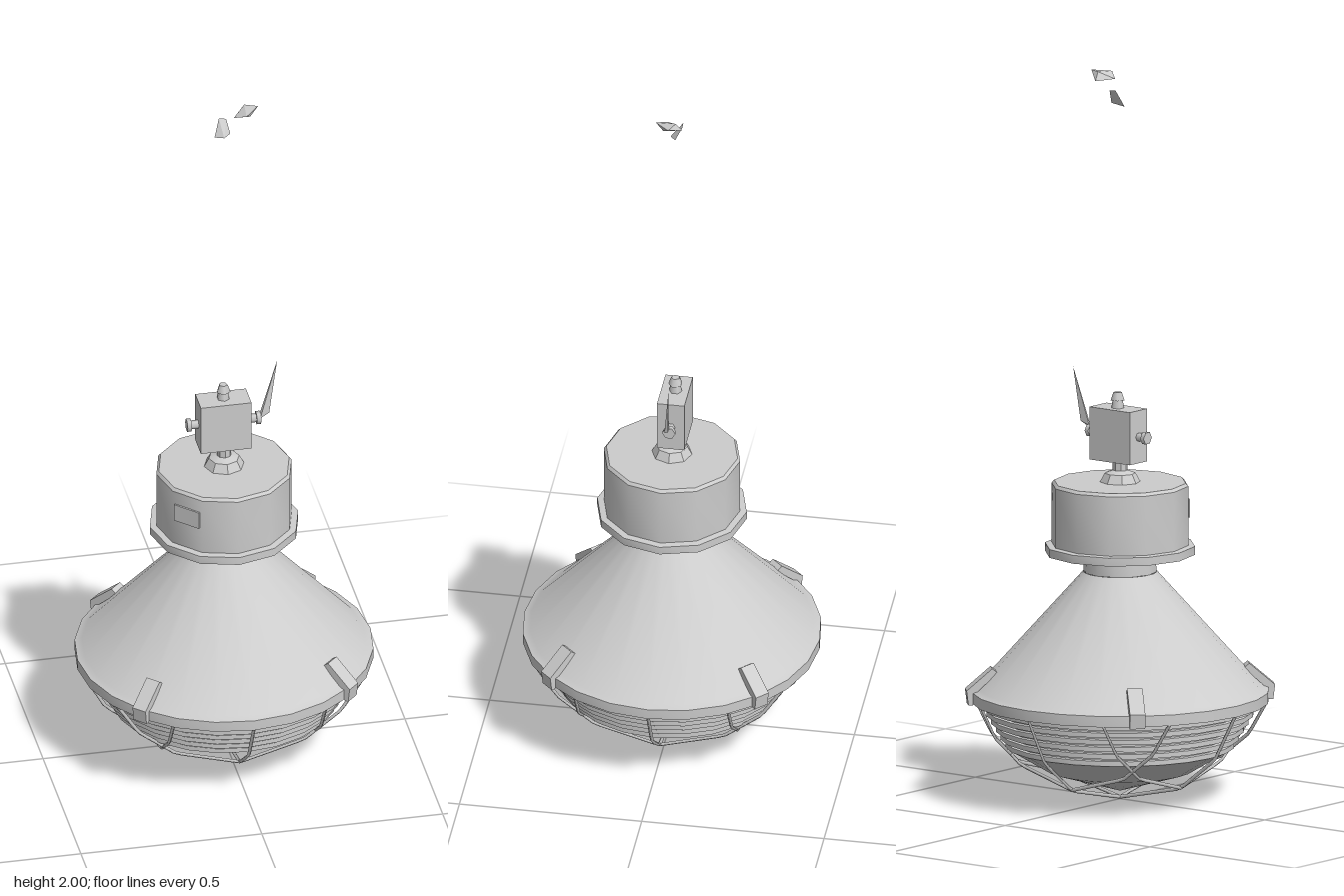
import * as THREE from 'three';
import { toCreasedNormals } from 'three/addons/utils/BufferGeometryUtils.js';
import { ConvexGeometry } from 'three/addons/geometries/ConvexGeometry.js';

export function createModel() {
  const lamp = new THREE.Group();
  lamp.name = 'pendantLamp';
  const metal = new THREE.MeshStandardMaterial({ color: 0xcccccc, side: THREE.DoubleSide });
  metal.name = 'pale grey metal';

  const add = (name, geometry, parent = lamp) => {
    const mesh = new THREE.Mesh(geometry, metal);
    mesh.name = name;
    parent.add(mesh);
    return mesh;
  };
  // Profiles run from the bottom up as [radius, height]
  const lathe = (name, profile, sides) => add(name, toCreasedNormals(
    new THREE.LatheGeometry(profile.map(([r, y]) => new THREE.Vector2(r, y)), sides), 0.65));
  const hull = (name, corners) =>
    add(name, new ConvexGeometry(corners.map((c) => new THREE.Vector3(...c))));

  // Conical shade with rim, and the neck above it
  lathe('shade', [[0.375, 0.275], [0.405, 0.275], [0.405, 0.305], [0.385, 0.312], [0.1, 0.63]], 24);
  lathe('neck', [[0.1, 0.63], [0.095, 0.72]], 12);

  // Glass bowl: stepped ribs above a shallow smooth bottom
  const bowl = [[0, 0.025], [0.2, 0.085], [0.3, 0.145]];
  for (let i = 0; i < 6; i++) {
    const y = 0.15 + i * 0.022, r = 0.312 + i * 0.013;
    bowl.push([r, y], [r, y + 0.013], [r - 0.008, y + 0.015], [r - 0.008, y + 0.021]);
  }
  bowl.push([0.385, 0.283]);
  lathe('glassBowl', bowl, 24);

  // Wire guard: three wires each way, draped over a dome
  const dome = [[0, 0.008], [0.205, 0.053], [0.33, 0.15], [0.4, 0.28]];
  const domeHeight = (r) => {
    let i = 1;
    while (i < dome.length - 1 && r > dome[i][0]) i++;
    const [r0, y0] = dome[i - 1], [r1, y1] = dome[i];
    return y0 + (y1 - y0) * (r - r0) / (r1 - r0);
  };
  const guard = new THREE.Group();
  guard.name = 'wireGuard';
  lamp.add(guard);
  for (const offset of [-0.21, 0, 0.21]) {
    const end = Math.sqrt(0.16 - offset * offset);
    const stops = [-1, -0.82, -0.52, 0, 0.52, 0.82, 1].map((t) => t * end);
    const path = new THREE.CurvePath();
    const points = stops.map((s) => new THREE.Vector3(offset, domeHeight(Math.hypot(s, offset)), s));
    for (let i = 1; i < points.length; i++) path.add(new THREE.LineCurve3(points[i - 1], points[i]));
    const wire = new THREE.TubeGeometry(path, 36, 0.005, 4);
    add('guardWire', wire, guard);
    add('guardCrossWire', wire, guard).rotation.y = Math.PI / 2;
  }

  // Four rim clips
  const clipShape = new THREE.Shape([[0.335, 0.36], [0.35, 0.372], [0.42, 0.312], [0.415, 0.272],
    [0.403, 0.272], [0.4, 0.3]].map(([x, y]) => new THREE.Vector2(x, y)));
  const clip = new THREE.ExtrudeGeometry(clipShape, { depth: 0.042, bevelEnabled: false });
  clip.translate(0, 0, -0.021);
  for (let i = 0; i < 4; i++) add('rimClip', clip).rotation.y = Math.PI / 4 + i * Math.PI / 2;

  // Gear housing with hollow underside and flange
  lathe('gearHousing', [[0.09, 0.72], [0.175, 0.72], [0.185, 0.682], [0.205, 0.68], [0.205, 0.703],
    [0.187, 0.705], [0.187, 0.868], [0.18, 0.876], [0, 0.876]], 12);
  const label = add('housingLabel', new THREE.BoxGeometry(0.08, 0.05, 0.006));
  label.position.set(-0.129, 0.805, 0.129);
  label.rotation.y = -Math.PI / 4;

  // Swivel foot and mounting box
  lathe('swivelFoot', [[0.055, 0.876], [0.042, 0.9], [0.02, 0.908], [0.02, 0.94]], 8);
  add('mountingBox', new THREE.BoxGeometry(0.14, 0.145, 0.075)).position.set(0, 1.008, -0.008);

  // Side bolts and top bolt
  for (const side of [-1, 1]) {
    const bolt = add('sideBolt', new THREE.CylinderGeometry(0.012, 0.012, 0.03, 6));
    bolt.rotation.z = Math.PI / 2;
    bolt.position.set(side * 0.082, 1.008, -0.008);
    const head = add('sideBoltHead', new THREE.CylinderGeometry(0.018, 0.018, 0.012, 6));
    head.rotation.z = Math.PI / 2;
    head.position.set(side * 0.096, 1.008, -0.008);
  }
  add('topBolt', new THREE.CylinderGeometry(0.013, 0.018, 0.03, 6)).position.set(0, 1.092, -0.01);
  add('topBoltHead', new THREE.CylinderGeometry(0.012, 0.02, 0.022, 5)).position.set(0, 1.113, -0.01);

  // Loose cable end beside the box
  hull('cableEnd', [[0.1, 1.01, 0.002], [0.1, 1.02, -0.008], [0.128, 1.03, -0.01],
    [0.125, 1.025, 0], [0.15, 1.178, -0.015]]);

  // Ceiling hook fragments high above
  hull('hookTop', [[0.025, 1.98, 0.01], [0.055, 1.977, -0.038], [0.07, 1.98, 0.012],
    [0.095, 2, -0.005], [0.055, 1.995, 0.035], [0.06, 2, -0.02]]);
  hull('hookTip', [[-0.024, 1.912, -0.01], [0.02, 1.918, -0.012], [0.012, 1.955, -0.03],
    [-0.008, 1.958, -0.03], [0, 1.915, 0.004]]);

  return lamp;
}
